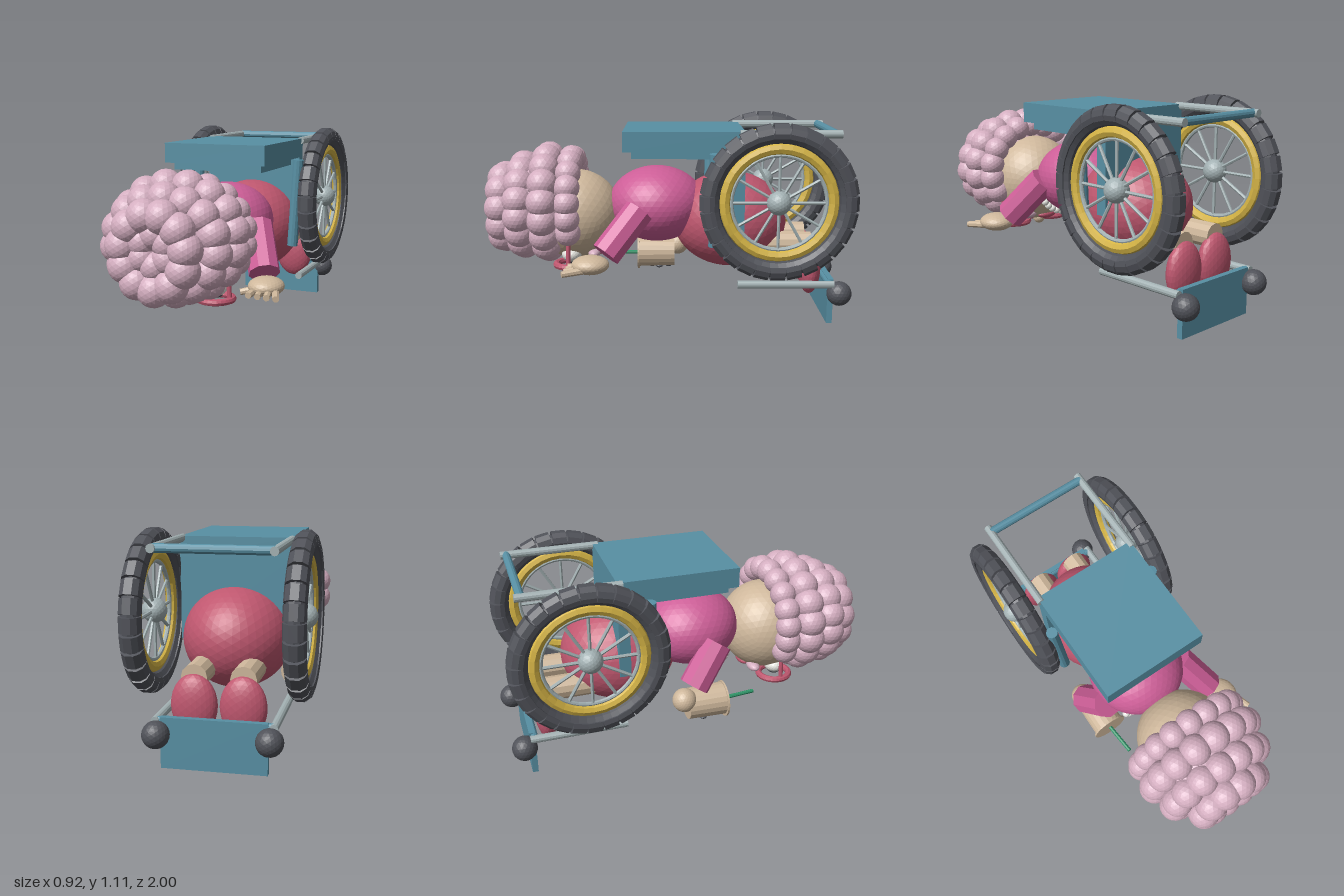
import * as THREE from 'three';

const paint = (name, color) => {
  const m = new THREE.MeshStandardMaterial({ color, flatShading: true });
  m.name = name;
  return m;
};
const hairPink = paint('hair pink', 0xd4aec0), skin = paint('skin', 0xcfb89c);
const pink = paint('blouse pink', 0xcd5e97), red = paint('rose red', 0xbf576f);
const teal = paint('teal', 0x5890a4), metal = paint('metal', 0xa3b1b3);
const rubber = paint('rubber', 0x505259), gold = paint('gold', 0xd6b546);
const green = paint('straw green', 0x2f9468), white = paint('pearl white', 0xe6e6e0);

const SIDES = [-1, 1];
const V = (x, y, z) => new THREE.Vector3(x, y, z);

function add(parent, name, geo, mat, pos = [0, 0, 0]) {
  const m = new THREE.Mesh(geo, mat);
  m.name = name;
  m.position.set(...pos);
  parent.add(m);
  return m;
}
function ball(parent, name, mat, pos, r, detail = 4) {
  const m = add(parent, name, new THREE.IcosahedronGeometry(1, detail), mat, pos);
  if (Array.isArray(r)) m.scale.set(...r); else m.scale.setScalar(r);
  return m;
}
function box(parent, name, mat, min, max) {
  const s = max.map((v, i) => v - min[i]), c = max.map((v, i) => (v + min[i]) / 2);
  return add(parent, name, new THREE.BoxGeometry(...s), mat, c);
}
// Cylinder running from point a to point b
function rod(parent, name, mat, a, b, r0, r1 = r0, sides = 12) {
  const p = V(...a), q = V(...b), d = q.clone().sub(p);
  const m = add(parent, name, new THREE.CylinderGeometry(r1, r0, d.length(), sides), mat);
  m.position.copy(p).add(q).multiplyScalar(0.5);
  m.quaternion.setFromUnitVectors(V(0, 1, 0), d.normalize());
  return m;
}

// Wheel built in the xy plane, then turned so its axle runs along x
function wheel() {
  const g = new THREE.Group();
  g.name = 'bigWheel';
  add(g, 'tyre', new THREE.TorusGeometry(0.352, 0.046, 10, 48), rubber);
  const lug = new THREE.Shape([[0.335, -0.05], [0.36, -0.055], [0.39, -0.045], [0.41, -0.02],
    [0.41, 0.02], [0.39, 0.045], [0.36, 0.055], [0.335, 0.05]].map(p => new THREE.Vector2(...p)));
  const lugGeo = new THREE.ExtrudeGeometry(lug, { depth: 0.076, bevelEnabled: false });
  lugGeo.translate(0, 0, -0.038).rotateX(Math.PI / 2);
  for (let i = 0; i < 28; i++) add(g, 'tread', lugGeo, rubber).rotation.z = i / 28 * Math.PI * 2;
  add(g, 'rim', new THREE.TorusGeometry(0.282, 0.031, 8, 32), gold);
  add(g, 'innerRim', new THREE.TorusGeometry(0.248, 0.012, 8, 40), metal);
  for (let i = 0; i < 12; i++) {
    const a = i / 12 * Math.PI * 2;
    rod(g, 'spoke', metal, [0, 0, 0], [0.25 * Math.cos(a), 0.25 * Math.sin(a), 0], 0.009, 0.009, 6);
  }
  ball(g, 'hub', metal, [0, 0, 0], 0.064, 3);
  g.rotation.y = Math.PI / 2;
  return g;
}

function chair() {
  const g = new THREE.Group();
  g.name = 'wheelchair';
  box(g, 'backrest', teal, [-0.288, 0.945, -0.41], [0.288, 1.052, 0.235]);
  box(g, 'backPad', teal, [-0.253, 0.905, -0.3], [0.253, 0.95, 0.19]);
  box(g, 'seat', teal, [-0.288, 0.52, -0.41], [0.288, 0.95, -0.35]);
  box(g, 'footplate', teal, [-0.257, 0, -0.903], [0.257, 0.25, -0.872]);
  rod(g, 'rearCrossbar', teal, [-0.283, 1.04, -0.878], [0.283, 1.04, -0.878], 0.022);
  rod(g, 'footCrossbar', teal, [-0.283, 0.228, -0.878], [0.283, 0.228, -0.878], 0.02);
  for (const s of SIDES) {
    const w = wheel();
    w.position.set(s * 0.378, 0.695, -0.578);
    g.add(w);
    rod(g, 'armrest', teal, [s * 0.285, 0.44, -0.25], [s * 0.315, 0.94, -0.25], 0.031);
    rod(g, 'backTube', metal, [s * 0.283, 1.04, -0.91], [s * 0.283, 1.04, -0.38], 0.021);
    rod(g, 'footTube', metal, [s * 0.283, 0.228, -0.9], [s * 0.283, 0.228, -0.38], 0.021);
    ball(g, 'caster', rubber, [s * 0.27, 0.174, -0.932], 0.067, 3);
  }
  return g;
}

function head() {
  const g = new THREE.Group();
  g.name = 'head';
  ball(g, 'face', skin, [0, 0.56, 0.515], 0.252, 7);
  // Curls in rings of shrinking size: z, centre y, ring radii, count, curl radius
  ball(g, 'hairCore', hairPink, [0, 0.63, 0.69], [0.3, 0.26, 0.23], 4);
  const rings = [[0.535, 0.63, 0.295, 0.248, 18, 0.07], [0.665, 0.63, 0.3, 0.255, 16, 0.082],
    [0.8, 0.615, 0.262, 0.222, 15, 0.082], [0.915, 0.6, 0.165, 0.175, 11, 0.084],
    [0.9, 0.61, 0.075, 0.075, 6, 0.075]];
  rings.forEach(([z, cy, rx, ry, n, r], row) => {
    for (let i = 0; i < n; i++) {
      const a = (i + (row % 2) / 2) / n * Math.PI * 2;
      if (row === 0 && Math.cos(a) < -0.6) continue; // opening for the face
      ball(g, 'curl', hairPink, [rx * Math.sin(a), cy + ry * Math.cos(a), z], r, 3);
    }
  });
  // Face and glasses point down
  for (const s of SIDES) {
    ball(g, 'eye', white, [s * 0.135, 0.36, 0.53], [0.065, 0.045, 0.055], 3);
    ball(g, 'pupil', rubber, [s * 0.135, 0.325, 0.53], [0.042, 0.018, 0.036], 3);
    ball(g, 'cheek', hairPink, [s * 0.13, 0.365, 0.405], [0.058, 0.026, 0.034], 3);
    const ring = add(g, 'glassesRing', new THREE.TorusGeometry(0.086, 0.018, 8, 28), red,
      [s * 0.142, 0.304, 0.53]);
    ring.rotation.x = Math.PI / 2;
    rod(g, 'glassesTemple', red, [s * 0.222, 0.304, 0.54], [s * 0.212, 0.45, 0.54], 0.012);
  }
  rod(g, 'glassesBridge', red, [-0.06, 0.304, 0.535], [0.06, 0.304, 0.535], 0.013);
  ball(g, 'nose', skin, [0, 0.315, 0.465], 0.036, 3);
  ball(g, 'mouth', red, [0, 0.35, 0.39], [0.065, 0.026, 0.034], 3);
  return g;
}

function figure() {
  const g = new THREE.Group();
  g.name = 'sitter';
  ball(g, 'hips', red, [0, 0.535, -0.35], [0.283, 0.268, 0.318], 7);
  ball(g, 'torso', pink, [0, 0.622, 0.06], [0.26, 0.212, 0.27], 7);
  for (const s of SIDES) {
    rod(g, 'leg', skin, [s * 0.12, 0.42, -0.5], [s * 0.12, 0.42, -0.79], 0.065);
    ball(g, 'shoe', red, [s * 0.12, 0.285, -0.79], [0.115, 0.153, 0.062], 4);
  }
  // Pearl necklace
  for (let i = 0; i < 13; i++) {
    const a = (i / 12 - 0.5) * 2.1;
    ball(g, 'pearl', white, [0.2 * Math.sin(a), 0.6 - 0.2 * Math.cos(a), 0.22], 0.021, 2);
  }
  // Left arm with open hand
  rod(g, 'leftSleeve', pink, [0.22, 0.62, 0.15], [0.325, 0.405, 0.325], 0.083, 0.083, 9);
  ball(g, 'leftHand', skin, [0.365, 0.36, 0.405], [0.093, 0.05, 0.1], 4);
  for (let i = 0; i < 4; i++) {
    const tip = [0.315 + i * 0.05, 0.335, 0.53 + i * 0.005];
    rod(g, 'finger', skin, [0.32 + i * 0.034, 0.345, 0.43], tip, 0.02, 0.017, 8);
  }
  rod(g, 'thumb', skin, [0.33, 0.345, 0.42], [0.245, 0.33, 0.46], 0.022, 0.016, 8);
  // Right arm with drink
  rod(g, 'rightSleeve', pink, [-0.24, 0.61, 0.14], [-0.3, 0.4, -0.01], 0.083, 0.083, 9);
  ball(g, 'rightHand', skin, [-0.29, 0.315, -0.06], 0.066, 4);
  rod(g, 'cup', skin, [-0.262, 0.27, -0.04], [-0.262, 0.27, 0.17], 0.085, 0.09, 20);
  rod(g, 'cupRim', skin, [-0.262, 0.266, 0.17], [-0.262, 0.266, 0.18], 0.1, 0.1, 28);
  rod(g, 'straw', green, [-0.262, 0.265, 0.16], [-0.247, 0.27, 0.36], 0.011, 0.011, 8);
  for (const [x, z] of [[-0.29, 0.05], [-0.235, 0.05], [-0.262, -0.005], [-0.262, 0.095]])
    ball(g, 'cupSpot', rubber, [x, 0.187, z], [0.02, 0.011, 0.02], 2);
  g.add(head());
  return g;
}

export function createModel() {
  const model = new THREE.Group();
  model.name = 'sitterInWheelchair';
  const body = new THREE.Group();
  body.name = 'assembly';
  body.add(chair(), figure());
  body.position.x = -0.018;
  model.add(body);
  return model;
}
